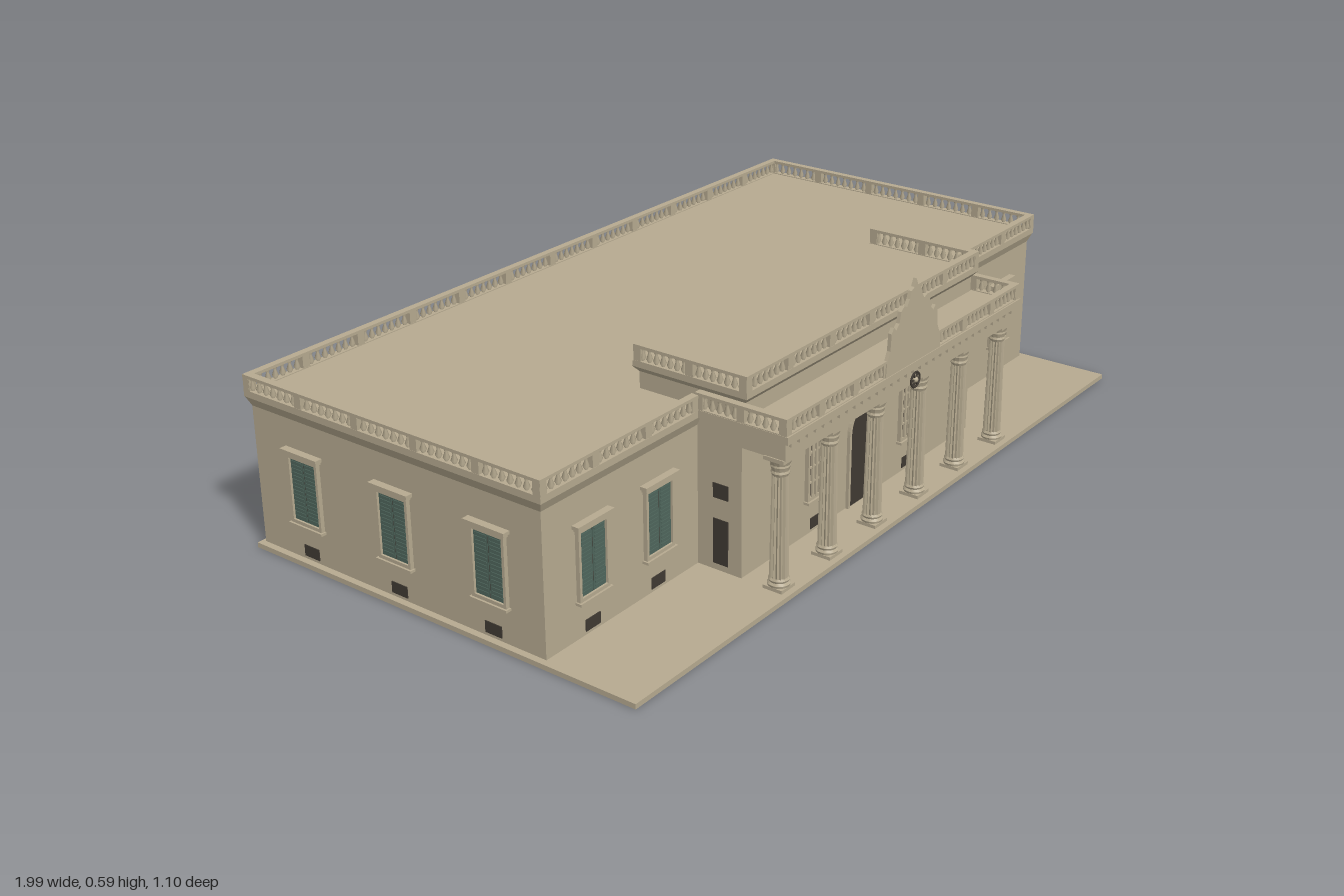
import * as THREE from 'three';
import { mergeGeometries, toCreasedNormals } from 'three/addons/utils/BufferGeometryUtils.js';

const material = (name, color) => Object.assign(new THREE.MeshStandardMaterial({ color }), { name });

export function createModel() {
  const root = new THREE.Group();
  root.name = 'colonnadedBuilding';
  const stone = material('stone', 0xb6aa90);
  const green = material('shutterGreen', 0x4f665c);
  const dark = material('darkOpening', 0x403a33);

  const add = (parent, name, geoms, mat) => {
    const list = [].concat(geoms).map((g) => (g.index ? g.toNonIndexed() : g));
    const mesh = new THREE.Mesh(mergeGeometries(list), mat);
    mesh.name = name;
    parent.add(mesh);
    return mesh;
  };
  // box given by its limits
  const box = (x0, x1, y0, y1, z0, z1) =>
    new THREE.BoxGeometry(x1 - x0, y1 - y0, z1 - z0)
      .translate((x0 + x1) / 2, (y0 + y1) / 2, (z0 + z1) / 2);
  // box whose top edge leans outwards, for cornices
  const flared = (x0, x1, y0, y1, z0, z1, out) => {
    const g = box(x0, x1, y0, y1, z0, z1);
    const p = g.attributes.position;
    const cx = (x0 + x1) / 2, cz = (z0 + z1) / 2;
    for (let i = 0; i < p.count; i++) {
      if (p.getY(i) < (y0 + y1) / 2) continue;
      p.setX(i, p.getX(i) + Math.sign(p.getX(i) - cx) * out);
      p.setZ(i, p.getZ(i) + Math.sign(p.getZ(i) - cz) * out);
    }
    g.computeVertexNormals();
    return g;
  };
  const lathe = (points, sides) =>
    new THREE.LatheGeometry(points.map(([r, y]) => new THREE.Vector2(r, y)), sides);

  // ---- balustrades: rails, posts and turned balusters between two points
  const baluster = lathe([[0.006, 0], [0.0035, 0.12], [0.0075, 0.35], [0.003, 0.75], [0.006, 1]], 8);
  const balustrade = (name, a, b, y0, y1, panels, perPanel = 7) => {
    const length = Math.hypot(b[0] - a[0], b[1] - a[1]);
    const t = 0.009, post = 0.01, rail = 0.007, parts = [];
    parts.push(box(0, length, y0, y0 + 0.004, -t, t), box(0, length, y1 - rail, y1, -t, t));
    const step = length / panels;
    for (let i = 0; i <= panels; i++) {
      const x = Math.min(Math.max(i * step, post), length - post);
      parts.push(box(x - post, x + post, y0, y1, -t * 0.95, t * 0.95));
      if (i === panels) break;
      for (let k = 0; k < perPanel; k++) {
        const bx = i * step + post + (step - 2 * post) * (k + 0.5) / perPanel;
        parts.push(baluster.clone().scale(1, y1 - rail - y0, 1).translate(bx, y0, 0));
      }
    }
    const mesh = add(root, name, parts, stone);
    mesh.position.set(a[0], 0, a[1]);
    mesh.rotation.y = -Math.atan2(b[1] - a[1], b[0] - a[0]);
  };

  // ---- base, main block and central block
  add(root, 'baseSlab', box(-0.995, 0.995, 0, 0.012, -0.547, 0.54), stone);
  add(root, 'mainBlock', box(-0.979, 0.979, 0.012, 0.345, -0.537, 0.298), stone);
  add(root, 'mainCornice', [
    flared(-0.979, 0.979, 0.345, 0.368, -0.537, 0.298, 0.01),
    box(-0.99, 0.99, 0.368, 0.382, -0.547, 0.309),
  ], stone);
  add(root, 'centralBlock', box(-0.48, 0.48, 0.012, 0.382, 0.2, 0.415), stone);
  add(root, 'raisedBlock', [
    box(-0.468, 0.468, 0.382, 0.422, 0.132, 0.415),
    flared(-0.468, 0.468, 0.422, 0.436, 0.132, 0.415, 0.012),
    box(-0.48, 0.48, 0.436, 0.449, 0.123, 0.427),
  ], stone);

  balustrade('rearBalustrade', [-0.99, -0.538], [0.99, -0.538], 0.38, 0.42, 12);
  for (const s of [-1, 1]) {
    balustrade('sideBalustrade', [s * 0.981, -0.547], [s * 0.981, 0.309], 0.38, 0.42, 5);
    balustrade('wingBalustrade', [s * 0.49, 0.3], [s * 0.99, 0.3], 0.38, 0.42, 3);
    balustrade('raisedSideBalustrade', [s * 0.471, 0.125], [s * 0.471, 0.427], 0.447, 0.488, 2);
    balustrade('porticoSideBalustrade', [s * 0.482, 0.3], [s * 0.482, 0.536], 0.384, 0.425, 2, 5);
    balustrade('porticoFrontBalustrade', [s * 0.1, 0.527], [s * 0.491, 0.527], 0.384, 0.425, 3, 6);
  }
  balustrade('raisedFrontBalustrade', [-0.48, 0.418], [0.48, 0.418], 0.447, 0.488, 6);

  // ---- portico entablature with dentils
  const dentils = [];
  for (let i = 0; i < 32; i++) {
    const x = -0.465 + i * 0.03;
    dentils.push(box(x - 0.006, x + 0.006, 0.355, 0.368, 0.525, 0.535));
  }
  add(root, 'porticoEntablature', [
    box(-0.483, 0.483, 0.325, 0.37, 0.41, 0.528),
    box(-0.492, 0.492, 0.368, 0.386, 0.298, 0.54),
  ], stone);
  add(root, 'dentils', dentils, stone);

  // ---- fluted columns with moulded bases and leafy capitals
  const shaft = new THREE.CylinderGeometry(0.0185, 0.022, 0.25, 32, 4, true);
  const sp = shaft.attributes.position;
  for (let i = 0; i < sp.count; i++) {
    const k = (i % 33) % 2 ? 0.84 : 1;
    sp.setX(i, sp.getX(i) * k);
    sp.setZ(i, sp.getZ(i) * k);
  }
  const columnParts = [
    box(-0.025, 0.025, 0.012, 0.02, -0.025, 0.025),
    toCreasedNormals(lathe([[0.025, 0.02], [0.026, 0.025], [0.022, 0.03], [0.024, 0.035], [0.021, 0.04]], 20), 0.6),
    toCreasedNormals(shaft.translate(0, 0.16, 0), 0.3),
    toCreasedNormals(lathe([[0.018, 0.28], [0.021, 0.287], [0.019, 0.292], [0.022, 0.302], [0.021, 0.306], [0.026, 0.317]], 12), 0.3),
    box(-0.026, 0.026, 0.317, 0.326, -0.026, 0.026),
  ];
  for (const x of [-0.46, -0.276, -0.092, 0.092, 0.276, 0.46]) {
    add(root, 'column', columnParts, stone).position.set(x, 0, 0.5);
  }

  // ---- curved gable over the centre
  const half = [[0.115, 0.384], [0.112, 0.42], [0.1, 0.445], [0.097, 0.485], [0.088, 0.497], [0.078, 0.488],
    [0.066, 0.5], [0.06, 0.525], [0.048, 0.535], [0.036, 0.53], [0.026, 0.545], [0.02, 0.562], [0.008, 0.568]];
  const gable = new THREE.Shape([...half, [0, 0.586], ...half.slice().reverse().map(([x, y]) => [-x, y])]
    .map(([x, y]) => new THREE.Vector2(x, y)));
  add(root, 'gable', new THREE.ExtrudeGeometry(gable, { depth: 0.009, bevelEnabled: false })
    .translate(0, 0, 0.529), stone);

  // ---- round ornament on the entablature
  const medallion = new THREE.Group();
  medallion.name = 'roundOrnament';
  medallion.position.set(0, 0.346, 0.545);
  root.add(medallion);
  const spokes = [0, 1, 2].map((i) => new THREE.BoxGeometry(0.034, 0.003, 0.004).rotateZ(i * Math.PI / 3));
  add(medallion, 'ornamentRing', [new THREE.TorusGeometry(0.018, 0.0025, 6, 24), ...spokes], dark);
  add(medallion, 'ornamentBoss', new THREE.SphereGeometry(0.007, 12, 8), stone);

  // ---- arched doorway
  const arch = (r, top) => {
    const s = new THREE.Shape();
    s.moveTo(-r, 0.012);
    s.lineTo(r, 0.012);
    s.lineTo(r, top - r);
    s.absarc(0, top - r, r, 0, Math.PI, false);
    return s;
  };
  const surround = arch(0.072, 0.271);
  surround.holes.push(arch(0.064, 0.262));
  add(root, 'doorSurround', new THREE.ExtrudeGeometry(surround, { depth: 0.008, bevelEnabled: false })
    .translate(0, 0, 0.415), stone);
  add(root, 'archedDoor', new THREE.ExtrudeGeometry(arch(0.064, 0.262), { depth: 0.003, bevelEnabled: false })
    .translate(0, 0, 0.415), dark);

  // ---- windows, built facing +z on the wall plane
  const place = (name, x, z, turn) => {
    const g = new THREE.Group();
    g.name = name;
    g.position.set(x, 0, z);
    g.rotation.y = turn;
    root.add(g);
    return g;
  };
  const frame = [
    box(-0.047, -0.04, 0.1, 0.264, 0, 0.01), box(0.04, 0.047, 0.1, 0.264, 0, 0.01),
    box(-0.04, 0.04, 0.256, 0.264, 0, 0.01), box(-0.04, 0.04, 0.1, 0.108, 0, 0.01),
    box(-0.051, 0.051, 0.262, 0.269, 0, 0.014), box(-0.056, 0.056, 0.269, 0.277, 0, 0.018),
    box(-0.051, 0.051, 0.094, 0.1, 0, 0.015),
  ];
  const vent = (g) => add(g, 'basementVent', box(-0.023, 0.023, 0.02, 0.047, 0, 0.002), dark);
  const shutteredWindow = (x, z, turn) => {
    const g = place('shutteredWindow', x, z, turn);
    add(g, 'windowFrame', frame, stone);
    const slats = [];
    for (const s of [-1, 1]) {
      slats.push(box(s * 0.02 - 0.019, s * 0.02 + 0.019, 0.108, 0.256, 0, 0.005));
      for (let i = 0; i < 16; i++) {
        const y = 0.115 + i * 0.0087;
        slats.push(box(s * 0.02 - 0.015, s * 0.02 + 0.015, y, y + 0.004, 0.005, 0.0065));
      }
    }
    add(g, 'shutters', slats, green);
    add(g, 'shutterGap', box(-0.0012, 0.0012, 0.108, 0.256, 0, 0.004), dark);
    vent(g);
  };
  const grilledWindow = (x, z) => {
    const g = place('grilledWindow', x, z, 0);
    add(g, 'windowFrame', frame, stone);
    add(g, 'windowPane', box(-0.04, 0.04, 0.108, 0.256, 0, 0.003), dark);
    const bars = [];
    for (let i = -2; i <= 2; i++) bars.push(box(i * 0.0145 - 0.0035, i * 0.0145 + 0.0035, 0.105, 0.26, 0.006, 0.011));
    for (const y of [0.145, 0.182, 0.219]) bars.push(box(-0.04, 0.04, y - 0.002, y + 0.002, 0.006, 0.01));
    add(g, 'windowGrille', bars, stone);
    vent(g);
  };
  for (const s of [-1, 1]) {
    for (const x of [0.62, 0.835]) shutteredWindow(s * x, 0.298, 0);
    for (const z of [0.157, -0.112, -0.382]) shutteredWindow(s * 0.979, z, s * Math.PI / 2);
    grilledWindow(s * 0.195, 0.415);
    // openings on the flanks of the central block
    const flank = place('flankOpenings', s * 0.48, 0.36, s * Math.PI / 2);
    add(flank, 'flankDoor', box(-0.02, 0.02, 0.028, 0.137, 0, 0.002), dark);
    add(flank, 'flankWindow', box(-0.02, 0.02, 0.187, 0.222, 0, 0.002), dark);
  }
  return root;
}
